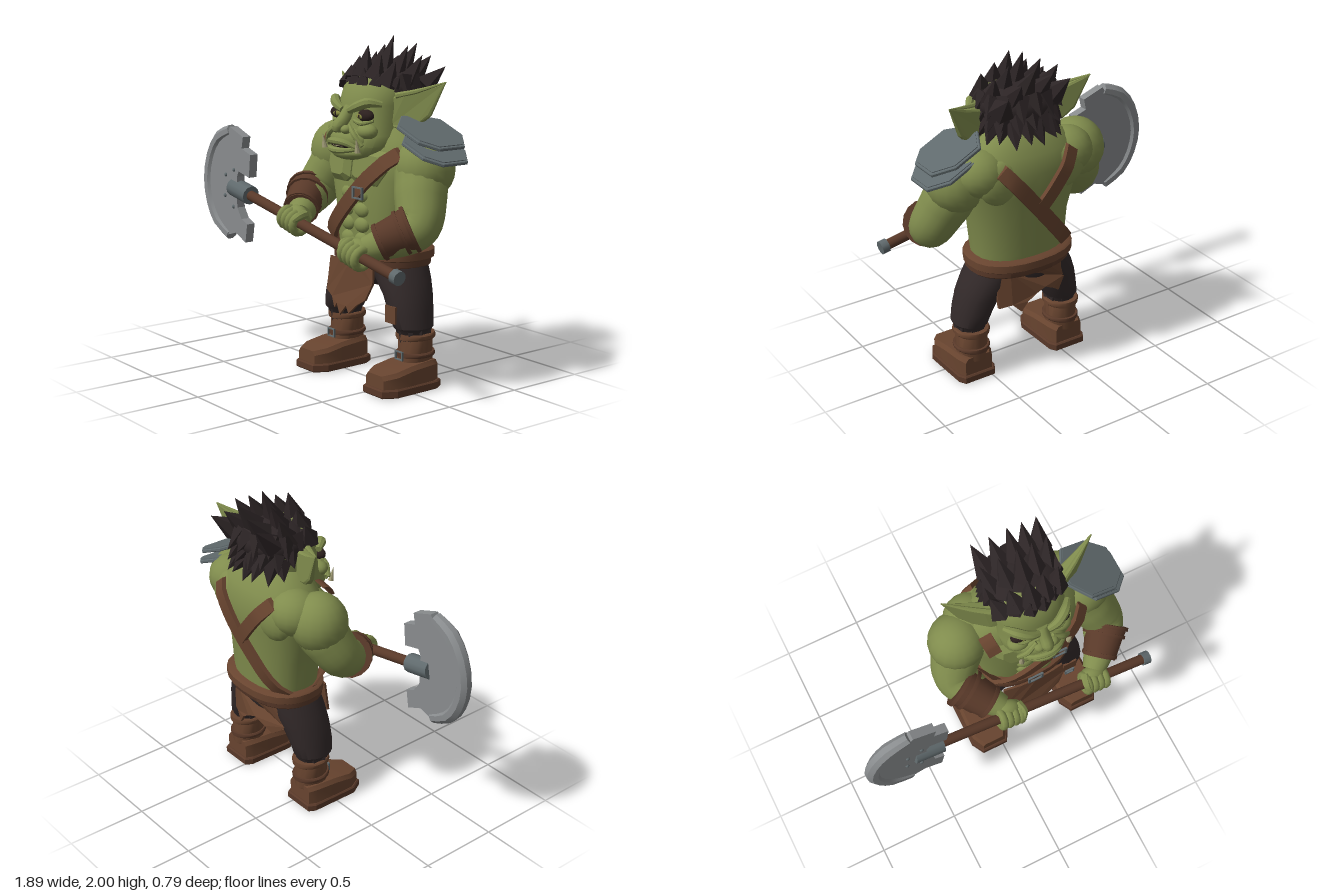
import * as THREE from 'three';
import { toCreasedNormals } from 'three/addons/utils/BufferGeometryUtils.js';

const V = (x, y, z) => new THREE.Vector3(x, y, z);
const mat = (name, color) => Object.assign(new THREE.MeshStandardMaterial({ color }), { name });
const CX = 0.265; // body centre line

export function createModel() {
  const root = new THREE.Group();
  root.name = 'ogreWarrior';
  const skin = mat('skin', 0x808c4d), hair = mat('hair', 0x2d2526), pants = mat('pants', 0x322929);
  const leather = mat('leather', 0x68442f), brown = mat('darkLeather', 0x593929);
  const steel = mat('darkSteel', 0x606a6d), blade = mat('bladeSteel', 0x898c8e);
  const bone = mat('bone', 0xa29d78), dark = mat('eyeSocket', 0x2c201e), iris = mat('iris', 0x85873f);

  const add = (name, geo, m, parent = root) => {
    const mesh = new THREE.Mesh(geo, m);
    mesh.name = name;
    parent.add(mesh);
    return mesh;
  };
  // Skin a list of rings, closing both ends
  const loft = (rings, crease = 0.7) => {
    const n = rings[0].length, pos = [], idx = [];
    rings.forEach(r => r.forEach(p => pos.push(p.x, p.y, p.z)));
    for (let i = 0; i < rings.length - 1; i++) for (let j = 0; j < n; j++) {
      const a = i * n + j, b = i * n + (j + 1) % n;
      idx.push(a, b, b + n, a, b + n, a + n);
    }
    const e = (rings.length - 1) * n;
    for (let j = 1; j < n - 1; j++) idx.push(0, j + 1, j, e, e + j, e + j + 1);
    const g = new THREE.BufferGeometry();
    g.setAttribute('position', new THREE.Float32BufferAttribute(pos, 3));
    g.setIndex(idx);
    return toCreasedNormals(g, crease);
  };
  // Horizontal rings from rows of [y, centre x, half width, front z, back z]
  const stack = (rows, e = 2.3, n = 24) => loft(rows.map(([y, cx, rx, zf, zb]) =>
    Array.from({ length: n }, (_, j) => {
      const a = j / n * Math.PI * 2, p = t => Math.sign(t) * Math.abs(t) ** (2 / e);
      return V(cx + rx * p(Math.sin(a)), y, (zf + zb) / 2 + (zf - zb) / 2 * p(Math.cos(a)));
    })));
  // Round limb through [x, y, z, radius]
  const limb = (pts, n = 14, steps = 14) => {
    const c = new THREE.CatmullRomCurve3(pts.map(p => V(p[0], p[1], p[2])));
    const k = pts.length - 1, rings = [];
    let w = V(0, 0, 1);
    for (let i = 0; i <= steps; i++) {
      const t = i / steps, s = Math.min(Math.floor(t * k), k - 1);
      const r = THREE.MathUtils.lerp(pts[s][3], pts[s + 1][3], t * k - s);
      const d = c.getTangent(t), o = c.getPoint(t), u = w.clone().cross(d).normalize();
      w = d.clone().cross(u);
      rings.push(Array.from({ length: n }, (_, j) => {
        const a = (j + 0.5) / n * Math.PI * 2;
        return o.clone().addScaledVector(u, r * Math.cos(a)).addScaledVector(w, r * Math.sin(a));
      }));
    }
    return loft(rings);
  };
  const ball = (name, m, x, y, z, rx, ry, rz, parent) => {
    const b = add(name, new THREE.SphereGeometry(1, 18, 12), m, parent);
    b.position.set(x, y, z);
    b.scale.set(rx, ry, rz);
    return b;
  };
  const plate = (pts, depth, bevel = 0) => {
    const g = new THREE.ExtrudeGeometry(new THREE.Shape(pts.map(p => new THREE.Vector2(p[0], p[1]))),
      { depth, bevelEnabled: bevel > 0, bevelSize: bevel, bevelThickness: bevel, bevelOffset: -bevel, bevelSegments: 1 });
    return g.translate(0, 0, -depth / 2);
  };
  // Move each vertex's z by a rule
  const reshapeZ = (g, rule) => {
    const p = g.attributes.position;
    for (let i = 0; i < p.count; i++) p.setZ(i, rule(p.getX(i), p.getZ(i)));
    g.computeVertexNormals();
    return g;
  };
  const spike = (name, m, a, b, r, n = 5) => {
    const g = new THREE.ConeGeometry(r, a.distanceTo(b), n).toNonIndexed();
    g.computeVertexNormals();
    const s = add(name, g, m);
    s.position.copy(a).lerp(b, 0.5);
    s.quaternion.setFromUnitVectors(V(0, 1, 0), b.clone().sub(a).normalize());
  };
  const buckle = (x, y, z, w, h) => {
    const corners = k => [[-w, -h], [w, -h], [w, h], [-w, h]].map(p => new THREE.Vector2(p[0] * k, p[1] * k));
    const s = new THREE.Shape(corners(1));
    s.holes.push(new THREE.Path(corners(0.75).reverse()));
    add('buckle', new THREE.ExtrudeGeometry(s, { depth: 0.012, bevelEnabled: false }), steel).position.set(x, y, z);
  };

  // Torso
  const torso = [[0.68, CX, 0.27, 0.06, -0.31], [0.82, CX, 0.29, 0.085, -0.33], [1.0, CX, 0.31, 0.09, -0.335], [1.2, CX, 0.36, 0.1, -0.365],
    [1.33, CX, 0.385, 0.085, -0.375], [1.43, CX, 0.34, 0.05, -0.345], [1.52, CX, 0.24, 0.01, -0.29], [1.57, CX, 0.15, -0.02, -0.24]];
  add('torso', stack(torso), skin);
  const torsoZ = (x, y, side) => {
    let i = 0;
    while (i < torso.length - 2 && y > torso[i + 1][0]) i++;
    const t = (y - torso[i][0]) / (torso[i + 1][0] - torso[i][0]);
    const [rx, zf, zb] = [2, 3, 4].map(k => THREE.MathUtils.lerp(torso[i][k], torso[i + 1][k], t));
    const q = Math.max(0, 1 - Math.min(1, Math.abs((x - CX) / rx)) ** 2.3) ** (1 / 2.3);
    return (zf + zb) / 2 + side * (zf - zb) / 2 * q;
  };
  for (const s of [-1, 1]) {
    // Flat, angular chest muscles
    const chest = add('chestMuscle', plate([[0, -0.07], [0.05, -0.1], [0.19, -0.1], [0.25, -0.01], [0.24, 0.1], [0, 0.11]].map(p => [s * p[0], p[1]]), 0.03, 0.035), skin);
    chest.position.set(CX + s * 0.002, 1.27, 0.092);
    chest.rotation.set(-0.14, s * 0.2, 0);
    ball('shoulderBlade', skin, CX + s * 0.2, 1.3, -0.29, 0.15, 0.14, 0.07);
    ball('trapezius', skin, CX + s * 0.29, 1.345, -0.2, 0.16, 0.14, 0.15);
    for (let i = 0; i < 4; i++) ball('abdominalMuscle', skin, CX + s * 0.06, 0.84 + i * 0.088, 0.075, 0.06, 0.046, 0.036);
  }

  // Straps lying on the torso, straight when seen from the front
  const strap = (name, x0, y0, x1, y1, side, w, off) => {
    const d = V(x1 - x0, y1 - y0, 0).normalize(), rings = [];
    for (let i = 0; i <= 12; i++) {
      const x = x0 + (x1 - x0) * i / 12, y = y0 + (y1 - y0) * i / 12, z = torsoZ(x, y, side) + side * off;
      const at = (a, b) => V(x + d.y * a * w, y - d.x * a * w, z + b * 0.014);
      rings.push([at(-1, -1), at(-1, 1), at(1, 1), at(1, -1)]);
    }
    add(name, loft(rings, 0.5), leather);
  };
  strap('chestStrap', 0.59, 1.365, -0.02, 0.78, 1, 0.043, 0.05);
  strap('backStrap', 0.5, 1.39, 0.0, 0.78, -1, 0.043, 0.022);
  strap('backShortStrap', 0.02, 1.42, 0.27, 1.11, -1, 0.04, 0.024);
  strap('shoulderStrap', -0.02, 1.46, 0.0, 1.38, 1, 0.04, 0.06);
  buckle(0.385, 1.13, 0.155, 0.045, 0.035);

  // Belt and cloths
  add('belt', stack([[0.69, CX, 0.31, 0.1, -0.345], [0.7, CX, 0.32, 0.11, -0.355], [0.755, CX, 0.32, 0.11, -0.36], [0.765, CX, 0.31, 0.1, -0.35]]), brown);
  add('upperBelt', stack([[0.73, CX, 0.32, 0.1, -0.36], [0.74, CX, 0.333, 0.115, -0.375], [0.785, CX, 0.333, 0.115, -0.375], [0.795, CX, 0.32, 0.1, -0.36]]), leather);
  buckle(0.26, 0.75, 0.115, 0.05, 0.035);
  const front = add('frontCloth', reshapeZ(plate([[-0.21, 0], [-0.21, -0.2], [-0.14, -0.23], [-0.1, -0.29], [-0.08, -0.26], [-0.04, -0.32], [0.01, -0.26],
    [0.04, -0.3], [0.1, -0.24], [0.16, -0.2], [0.2, -0.1], [0.19, 0], [0.1, 0], [0, 0], [-0.1, 0]], 0.014), (x, z) => z - x * x * 0.5), leather);
  front.position.set(CX, 0.71, 0.115);
  front.rotation.x = -0.14;
  const back = add('backCloth', reshapeZ(plate([[-0.24, 0], [-0.25, -0.16], [-0.18, -0.22], [-0.13, -0.18], [-0.06, -0.14], [0, -0.16], [0.06, -0.2],
    [0.1, -0.26], [0.15, -0.21], [0.22, -0.23], [0.24, 0], [0.16, 0], [0.08, 0], [0, 0], [-0.08, 0], [-0.16, 0]], 0.02), (x, z) => z + x * x * 1.4), leather);
  back.position.set(CX, 0.71, -0.33);

  // Legs and boots
  ball('trouserSeat', pants, CX, 0.67, -0.13, 0.26, 0.13, 0.18);
  for (const s of [-1, 1]) {
    const x = o => CX + s * o;
    add('trouserLeg', stack([[0.24, x(0.318), 0.075, -0.02, -0.18], [0.34, x(0.318), 0.09, 0.01, -0.2], [0.36, x(0.318), 0.105, 0.03, -0.215],
      [0.44, x(0.295), 0.115, 0.045, -0.23], [0.53, x(0.262), 0.127, 0.05, -0.25], [0.62, x(0.205), 0.15, 0.055, -0.275], [0.72, x(0.15), 0.155, 0.05, -0.29]], 2.1, 18), pants);
    for (let i = 0; i < 9; i++) {
      const a = i / 9 * Math.PI * 2;
      spike('tornHem', pants, V(x(0.318) + 0.075 * Math.sin(a), 0.36, -0.095 + 0.085 * Math.cos(a)),
        V(x(0.318) + 0.095 * Math.sin(a), 0.27 + (i % 3) * 0.015, -0.095 + 0.1 * Math.cos(a)), 0.03, 4);
    }
    const sole = add('bootSole', plate([[-0.1, -0.215], [0.1, -0.215], [0.125, -0.17], [0.13, 0.13], [0.085, 0.21], [-0.085, 0.21], [-0.13, 0.13], [-0.125, -0.17]], 0.034, 0.008), brown);
    sole.rotation.x = Math.PI / 2;
    sole.position.set(x(0.322), 0.025, 0);
    add('bootFoot', loft([[-0.2, 0.09, 0.16], [-0.15, 0.113, 0.17], [0, 0.118, 0.16], [0.12, 0.118, 0.14], [0.195, 0.078, 0.125]].map(([z, w, h]) =>
      [[-w, 0.045], [w, 0.045], [w, h - 0.025], [w - 0.018, h], [-w + 0.018, h], [-w, h - 0.025]].map(p => V(x(0.322) + p[0], p[1], z))), 0.5), leather);
    const tube = (name, m, y0, y1, r) => add(name, stack([[y0, x(0.318), r - 0.008, -0.1 + r, -0.12 - r], [y0 + 0.008, x(0.318), r, -0.1 + r, -0.12 - r],
      [y1 - 0.008, x(0.318), r, -0.1 + r, -0.12 - r], [y1, x(0.318), r - 0.008, -0.1 + r, -0.12 - r]], 2, 18), m);
    tube('bootShaft', leather, 0.13, 0.3, 0.093);
    tube('bootStrap', brown, 0.188, 0.215, 0.108);
    tube('bootCuff', leather, 0.29, 0.325, 0.108);
    buckle(x(0.318), 0.2, 0.006, 0.032, 0.026);
  }
  add('kneePatch', new THREE.BoxGeometry(0.09, 0.1, 0.012), leather).position.set(0.55, 0.44, 0.048);

  // Arms, bracers and fists around the axe shaft
  const shaftY = x => 1.035 - 0.1846 * (x + 0.57), tilt = Math.atan(-0.1846);
  const arms = [
    { pts: [[-0.09, 1.32, -0.13, 0.15], [-0.165, 1.2, -0.09, 0.15], [-0.215, 1.07, -0.01, 0.13], [-0.165, 1.02, 0.1, 0.115], [-0.04, 0.95, 0.25, 0.07]],
      ball: [-0.145, 1.3, -0.12], a: V(-0.22, 1.055, 0.045), b: V(-0.09, 0.975, 0.21), hand: -0.02 },
    { pts: [[0.61, 1.3, -0.11, 0.15], [0.685, 1.14, -0.05, 0.15], [0.745, 0.98, 0.025, 0.13], [0.71, 0.925, 0.11, 0.115], [0.58, 0.85, 0.26, 0.07]],
      ball: [0.65, 1.28, -0.11], a: V(0.755, 0.975, 0.07), b: V(0.635, 0.89, 0.215), hand: 0.555 }];
  for (const { pts, ball: c, a, b, hand } of arms) {
    add('arm', limb(pts, 16, 24), skin);
    ball('shoulder', skin, ...c, 0.175, 0.18, 0.17);
    const along = (t, r) => [...a.clone().lerp(b, t).toArray(), r];
    add('bracer', limb([along(0, 0.132), along(1, 0.1)], 16, 2), brown);
    for (const [t, r] of [[0.06, 0.138], [0.3, 0.13], [0.92, 0.108]]) add('bracerBand', limb([along(t - 0.05, r), along(t + 0.05, r)], 16, 1), brown);
    const fist = new THREE.Group();
    fist.name = 'fist';
    fist.position.set(hand, shaftY(hand), 0.31);
    fist.rotation.z = tilt;
    root.add(fist);
    ball('palm', skin, 0, 0.01, -0.025, 0.088, 0.075, 0.06, fist);
    for (let i = 0; i < 4; i++) {
      const f = add('finger', new THREE.TorusGeometry(0.052, 0.025, 8, 14), skin, fist);
      f.rotation.y = Math.PI / 2;
      f.position.set(-0.06 + i * 0.04, -0.002 * i, 0.002);
    }
    const s = hand < CX ? 1 : -1;
    add('thumb', limb([[s * 0.06, 0.05, -0.03, 0.028], [s * 0.075, 0.045, 0.03, 0.025], [s * 0.065, 0.02, 0.06, 0.016]], 8, 6), skin, fist);
  }

  // Axe
  const rod = (name, m, x0, x1, r, n) => {
    const g = add(name, new THREE.CylinderGeometry(r, r, (x1 - x0) / Math.cos(tilt), n), m);
    g.rotation.z = tilt - Math.PI / 2;
    g.position.set((x0 + x1) / 2, shaftY((x0 + x1) / 2), 0.31);
  };
  rod('axeShaft', brown, -0.57, 0.92, 0.031, 14);
  rod('axeEndCap', steel, 0.89, 0.935, 0.042, 10);
  rod('axeSocket', steel, -0.645, -0.465, 0.058, 12);
  const arc = [[-0.655, 1.395], [-0.78, 1.34], [-0.865, 1.225], [-0.903, 1.07], [-0.873, 0.925], [-0.8, 0.815], [-0.675, 0.745]];
  add('axeBlade', plate([...arc, [-0.59, 0.77], [-0.485, 0.725], [-0.465, 0.84], [-0.525, 0.865], [-0.57, 0.93],
    [-0.57, 1.12], [-0.55, 1.155], [-0.44, 1.13], [-0.425, 1.27], [-0.515, 1.3], [-0.5, 1.37], [-0.64, 1.42]], 0.055), blade).position.z = 0.312;
  add('axeCuttingEdge', limb(arc.map(([x, y], i) => [x, y, 0.312, i % 6 ? 0.046 : 0.038]), 8, 12), blade);
  for (const [x, y] of [[-0.6, 1.16], [-0.69, 1.12], [-0.7, 0.99], [-0.61, 0.93]]) ball('axeRivet', steel, x, y, 0.34, 0.012, 0.012, 0.01);

  // Layered shoulder armour
  for (const [x, y, r] of [[0.69, 1.485, 1], [0.725, 1.4, 0.97]]) {
    const pad = new THREE.Group();
    pad.name = 'shoulderPlate';
    pad.position.set(x, y, -0.11);
    pad.rotation.z = -0.41;
    root.add(pad);
    const hex = k => [[-0.185, -0.07], [-0.08, -0.18], [0.1, -0.165], [0.19, -0.08], [0.19, 0.1], [0.07, 0.18], [-0.11, 0.165], [-0.185, 0.03]].map(p => [p[0] * r * k, p[1] * r * k]);
    add('plateRim', plate(hex(1), 0.012, 0.004).rotateX(-Math.PI / 2), steel, pad);
    add('plateFace', plate(hex(0.92), 0.012).rotateX(-Math.PI / 2), steel, pad).position.y = 0.009;
  }

  // Head
  add('head', stack([[1.31, CX, 0.11, 0.13, -0.04], [1.335, CX, 0.165, 0.17, -0.12], [1.39, CX, 0.208, 0.185, -0.18], [1.45, CX, 0.215, 0.165, -0.23], [1.53, CX, 0.205, 0.13, -0.26],
    [1.62, CX, 0.215, 0.125, -0.28], [1.71, CX, 0.205, 0.095, -0.28], [1.77, CX, 0.16, 0.05, -0.24], [1.8, CX, 0.09, 0, -0.18]]), skin);
  ball('muzzle', skin, CX, 1.42, 0.11, 0.15, 0.085, 0.1);
  ball('chin', skin, CX, 1.35, 0.12, 0.13, 0.045, 0.09);
  ball('mouth', dark, CX, 1.395, 0.13, 0.115, 0.022, 0.09);
  ball('teeth', bone, CX, 1.393, 0.135, 0.09, 0.008, 0.088);
  add('upperLip', limb([[0.14, 1.385, 0.17, 0.012], [0.2, 1.415, 0.212, 0.018], [CX, 1.42, 0.224, 0.02], [0.33, 1.415, 0.212, 0.018], [0.39, 1.385, 0.17, 0.012]], 8), skin);
  add('lowerLip', limb([[0.14, 1.38, 0.17, 0.012], [0.2, 1.37, 0.21, 0.016], [CX, 1.367, 0.222, 0.02], [0.33, 1.37, 0.21, 0.016], [0.39, 1.38, 0.17, 0.012]], 8), skin);
  add('noseBridge', limb([[CX, 1.6, 0.12, 0.035], [CX, 1.54, 0.165, 0.035], [CX, 1.5, 0.205, 0.038], [CX, 1.47, 0.215, 0.02]], 10, 8), skin);
  for (const s of [-1, 1]) {
    const x = o => CX + s * o;
    ball('nostril', skin, x(0.042), 1.485, 0.18, 0.035, 0.026, 0.035);
    ball('cheek', skin, x(0.13), 1.475, 0.1, 0.07, 0.045, 0.055);
    add('cheekFold', limb([[x(0.05), 1.51, 0.165, 0.012], [x(0.11), 1.46, 0.18, 0.018], [x(0.16), 1.4, 0.16, 0.012]], 8, 8), skin);
    ball('eyeSocket', dark, x(0.125), 1.565, 0.106, 0.06, 0.036, 0.035);
    ball('eye', iris, x(0.108), 1.562, 0.13, 0.036, 0.016, 0.014);
    ball('pupil', dark, x(0.108), 1.562, 0.14, 0.008, 0.012, 0.006);
    add('brow', limb([[x(0.03), 1.59, 0.15, 0.02], [x(0.09), 1.615, 0.145, 0.028], [x(0.15), 1.64, 0.11, 0.03], [x(0.2), 1.63, 0.05, 0.018]], 8, 10), skin);
    add('lowerLid', limb([[x(0.06), 1.535, 0.14, 0.01], [x(0.12), 1.522, 0.135, 0.014], [x(0.18), 1.54, 0.095, 0.01]], 8, 6), skin);
    spike('tusk', bone, V(x(0.15), 1.365, 0.185), V(x(0.155), 1.45, 0.2), 0.017, 8);
    // Pointed ear, thick at the root and thin at the tip
    const ear = add('ear', reshapeZ(plate([[-0.04, 0.07], [0.05, 0.085], [0.16, 0.115], [0.29, 0.16], [0.2, -0.03], [0.13, -0.09], [0.02, -0.12], [-0.04, -0.1]].map(p => [s * p[0], p[1]]), 0.06, 0.012),
      (px, z) => z * (1.1 - Math.abs(px) / 0.29)), skin);
    ear.position.set(x(0.2), 1.6, -0.07);
    ear.rotation.y = s * 0.42;
    add('earRim', limb([[0, 0.075, 0.03, 0.02], [s * 0.12, 0.103, 0.02, 0.016], [s * 0.29, 0.16, 0, 0.004]], 8, 6), skin, ear);
  }

  // Hair: cap, upright crest rows and a ragged fringe round the back
  ball('hairCap', hair, CX, 1.7, -0.14, 0.235, 0.12, 0.21);
  [[0.025, 0.185, -0.05], [-0.1, 0.235, -0.1], [-0.22, 0.185, -0.135]].forEach(([z, top, lean], r) => {
    for (let i = 0; i < 5; i++) {
      const w = (i - 2) / 2 + (r - 1) * 0.1, h = top - 0.06 * w * w - (i % 2 ? 0.03 : 0);
      const base = V(CX + w * 0.165, 1.765 - 0.045 * w * w, z - 0.04 * Math.abs(w));
      spike('hairSpike', hair, base, base.clone().add(V(w * 0.04, h, lean)), 0.075);
    }
  });
  for (let row = 0; row < 3; row++) for (let i = 0; i <= 8; i++) {
    const a = (i / 8 - 0.5) * (3.4 - row * 0.3) + row * 0.12, sx = Math.sin(a), cz = -Math.cos(a), y = 1.76 - row * 0.075;
    spike('backLock', hair, V(CX + sx * 0.18, y, -0.13 + cz * 0.16), V(CX + sx * 0.255, y - 0.09 - (i % 2) * 0.025, -0.135 + cz * (0.24 + (i % 3) * 0.012)), 0.065);
  }
  for (let i = 0; i < 6; i++) {
    const w = (i - 2.5) / 2.5;
    spike('hairline', hair, V(CX + w * 0.18, 1.735, 0.05 - 0.1 * w * w), V(CX + w * 0.21, 1.83 - 0.05 * w * w, 0.06 - 0.13 * w * w), 0.055);
  }
  return root;
}
